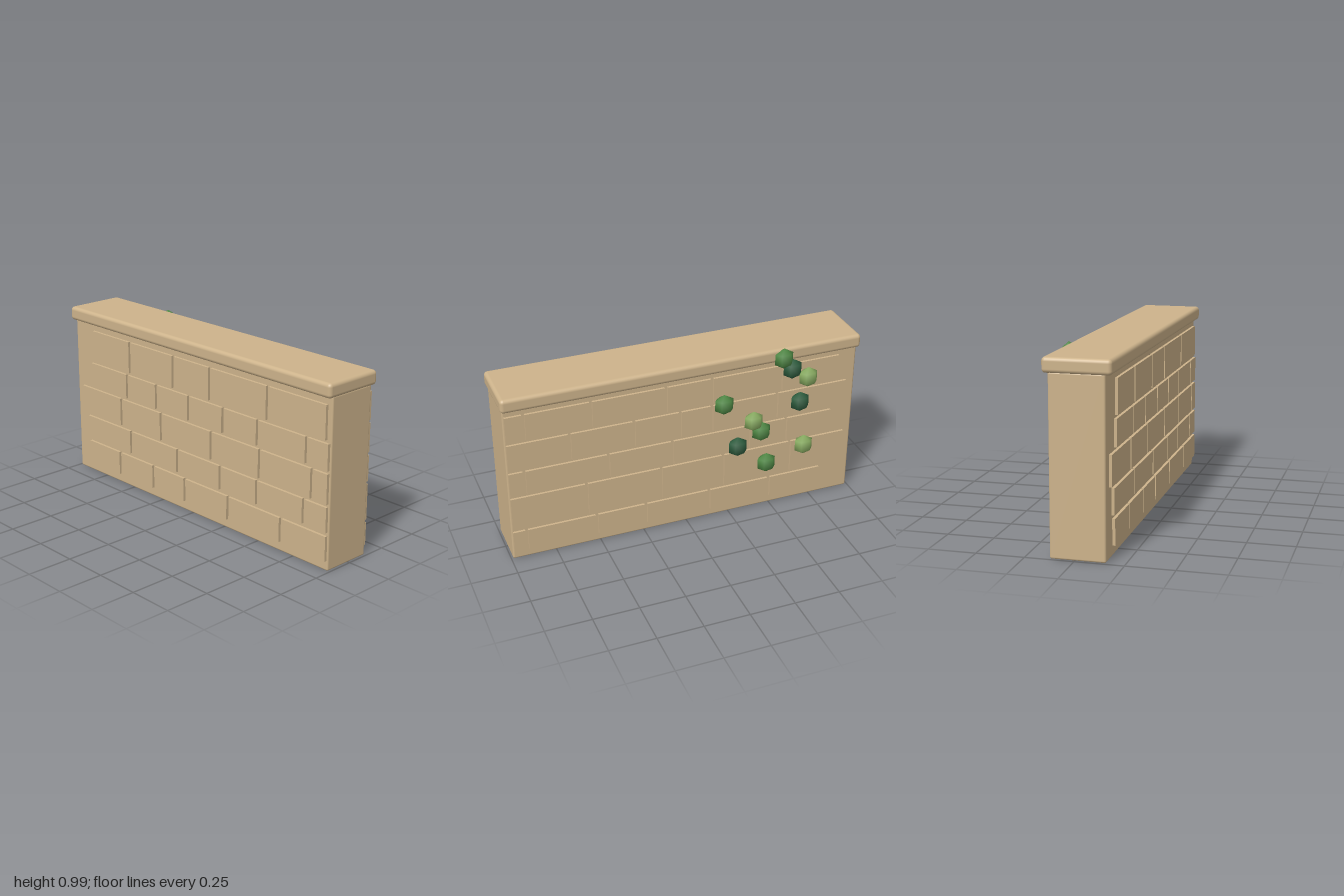
import * as THREE from 'three';
import { RoundedBoxGeometry } from 'three/addons/geometries/RoundedBoxGeometry.js';

const mat = (name, color) => Object.assign(new THREE.MeshStandardMaterial({ color }), { name });

// Each row: bottom, top, then the left edge of every stone and the right end
const FRONT_ROWS = [
  [0.055, 0.19, [-0.885, -0.6, -0.31, -0.05, 0.29, 0.675, 0.99]],
  [0.21, 0.345, [-0.895, -0.5, -0.107, 0.23, 0.503, 0.83, 0.99]],
  [0.36, 0.52, [-0.94, -0.58, -0.24, 0.16, 0.52, 0.88, 0.99]],
  [0.535, 0.675, [-0.85, -0.525, -0.277, -0.015, 0.25, 0.503, 0.84, 0.99]],
  [0.69, 0.87, [-0.83, -0.497, -0.137, 0.15, 0.57, 0.97]],
];
const BACK_ROWS = [
  [0.05, 0.175, [-0.81, -0.49, -0.13, 0.24, 0.52, 0.91, 0.99]],
  [0.19, 0.385, [-0.95, -0.61, -0.21, 0.15, 0.57, 0.99]],
  [0.4, 0.54, [-0.86, -0.58, -0.36, 0.085, 0.445, 0.9, 0.99]],
  [0.555, 0.71, [-0.945, -0.52, -0.14, 0.04, 0.3, 0.65, 0.99]],
  [0.725, 0.875, [-0.89, -0.54, -0.14, 0.12, 0.53, 0.885, 0.99]],
];

// Leaf clumps: x, y, shade
const LEAVES = [
  [-0.54, 0.93, 'mid'], [-0.593, 0.858, 'dark'], [-0.69, 0.79, 'light'],
  [-0.2, 0.718, 'mid'], [-0.648, 0.645, 'dark'], [-0.375, 0.578, 'light'],
  [-0.422, 0.505, 'mid'], [-0.285, 0.437, 'dark'], [-0.684, 0.363, 'light'],
  [-0.46, 0.295, 'mid'],
];

export function createModel() {
  const model = new THREE.Group();
  model.name = 'stoneWall';
  const stone = mat('sandstone', 0xcdb38b);
  const greens = {
    light: mat('lightLeaf', 0x8aae62),
    mid: mat('midLeaf', 0x508a45),
    dark: mat('darkLeaf', 0x2f5f40),
  };
  const add = (parent, name, geometry, material, x, y, z) => {
    const mesh = new THREE.Mesh(geometry, material);
    mesh.name = name;
    mesh.position.set(x, y, z);
    parent.add(mesh);
    return mesh;
  };

  // Core and overhanging coping
  add(model, 'wallBody', new RoundedBoxGeometry(1.98, 0.915, 0.282, 2, 0.01), stone, 0, 0.4575, 0.016);
  add(model, 'coping', new RoundedBoxGeometry(2, 0.077, 0.345, 3, 0.02), stone, 0, 0.9465, 0.0175);

  // Raised stones on both faces
  const addStones = (name, rows, zIn, zOut) => {
    const group = new THREE.Group();
    group.name = name;
    const gap = 0.016;
    for (const [bottom, top, edges] of rows) {
      for (let i = 0; i < edges.length - 1; i++) {
        const width = edges[i + 1] - edges[i] - gap;
        add(group, 'stone', new THREE.BoxGeometry(width, top - bottom, Math.abs(zOut - zIn)), stone,
          (edges[i] + edges[i + 1]) / 2, (bottom + top) / 2, (zIn + zOut) / 2);
      }
    }
    model.add(group);
  };
  addStones('frontStones', FRONT_ROWS, 0.14, 0.172);
  addStones('backStones', BACK_ROWS, -0.11, -0.138);

  // Climbing leaves on the back
  const ivy = new THREE.Group();
  ivy.name = 'ivy';
  const leaf = new THREE.SphereGeometry(0.06, 6, 3);
  for (const [x, y, shade] of LEAVES) {
    add(ivy, 'leafClump', leaf, greens[shade], x, y, -0.158).scale.set(1, 1, 0.68);
  }
  model.add(ivy);
  return model;
}
